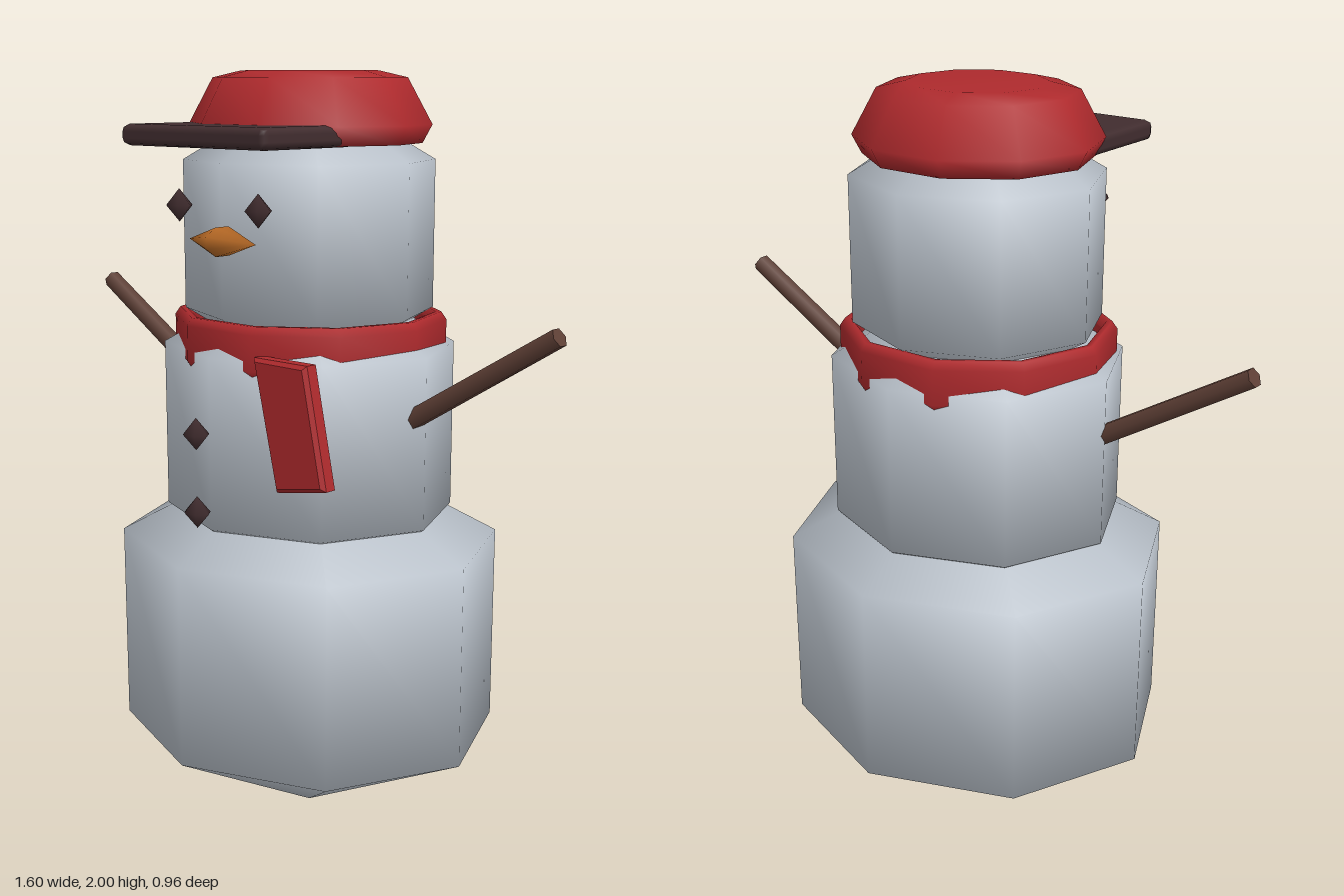
import * as THREE from 'three';
import { RoundedBoxGeometry } from 'three/addons/geometries/RoundedBoxGeometry.js';

const material = (name, color) => {
  const m = new THREE.MeshStandardMaterial({ color });
  m.name = name;
  return m;
};

export function createModel() {
  const group = new THREE.Group();
  const snow = material('snow', 0xbcc4cd);
  const red = material('red cloth', 0xae2a2d);
  const dark = material('dark coal', 0x412d2f);
  const wood = material('wood', 0x5f4036);
  const carrot = material('carrot', 0xb86a26);

  const add = (name, geometry, mat, x = 0, y = 0, z = 0) => {
    const mesh = new THREE.Mesh(geometry, mat);
    mesh.name = name;
    mesh.position.set(x, y, z);
    group.add(mesh);
    return mesh;
  };
  const ball = (sides, rows, rx, ry, rz) =>
    new THREE.SphereGeometry(1, sides, rows).scale(rx, ry, rz);
  // Ten-sided turned shape with a corner on the x axis
  const turned = (profile, depth) => new THREE.LatheGeometry(
    profile.map(([r, y]) => new THREE.Vector2(r, y)), 10, Math.PI / 2
  ).scale(1, 1, depth);

  // Three coarse snowballs
  add('lowerBody', ball(8, 3, 0.606, 0.53, 0.554), snow, 0, 0.53);
  add('middleBody', ball(8, 3, 0.456, 0.44, 0.42), snow, 0, 1.09);
  add('head', ball(8, 3, 0.382, 0.38, 0.364), snow, 0, 1.59);

  // Cap with peak
  add('cap', turned([[0, 1.84], [0.22, 1.83], [0.295, 1.822], [0.32, 1.868],
    [0.255, 1.983], [0.18, 2], [0, 2]], 0.94), red);
  add('capPeak', new RoundedBoxGeometry(0.5, 0.052, 0.32, 1, 0.018), dark, 0, 1.846, 0.257);

  // Scarf ring and hanging end
  add('scarf', turned([[0.325, 1.375], [0.325, 1.285], [0.335, 1.265], [0.35, 1.265],
    [0.364, 1.285], [0.364, 1.375], [0.35, 1.395], [0.335, 1.395], [0.325, 1.375]], 0.955), red);
  const endShape = new THREE.Shape([[0.13, 1.325], [0.205, 1.0], [0.368, 1.03], [0.305, 1.325]]
    .map(([x, y]) => new THREE.Vector2(x, y)));
  add('scarfEnd', new THREE.ExtrudeGeometry(endShape, {
    depth: 0.03, bevelThickness: 0.01, bevelSize: 0.01, bevelOffset: -0.01, bevelSegments: 1
  }), red, 0, 0, 0.305);

  // Eyes and buttons
  for (const [name, x, y, z] of [
    ['leftEye', 0.138, 1.675, 0.325], ['rightEye', -0.138, 1.675, 0.325],
    ['upperButton', 0, 1.127, 0.41], ['lowerButton', 0, 0.927, 0.41]
  ]) add(name, ball(6, 2, 0.04, 0.041, 0.03), dark, x, y, z);

  // Carrot nose: a flattened spindle pointing sideways
  add('nose', new THREE.SphereGeometry(1, 8, 2).rotateY(Math.PI / 8).rotateZ(-Math.PI / 2)
    .scale(0.114, 0.038, 0.057), carrot, 0.052, 1.6, 0.362);

  // Stick arms
  for (const side of [1, -1]) {
    const from = new THREE.Vector3(side * 0.35, 1.145, 0.018);
    const to = new THREE.Vector3(side * 0.787, 1.408, 0.01);
    const along = to.clone().sub(from);
    const arm = add(side > 0 ? 'leftArm' : 'rightArm',
      new THREE.CylinderGeometry(0.025, 0.027, along.length(), 6), wood);
    arm.position.copy(from).add(to).multiplyScalar(0.5);
    arm.quaternion.setFromUnitVectors(new THREE.Vector3(0, 1, 0), along.normalize());
  }

  return group;
}
